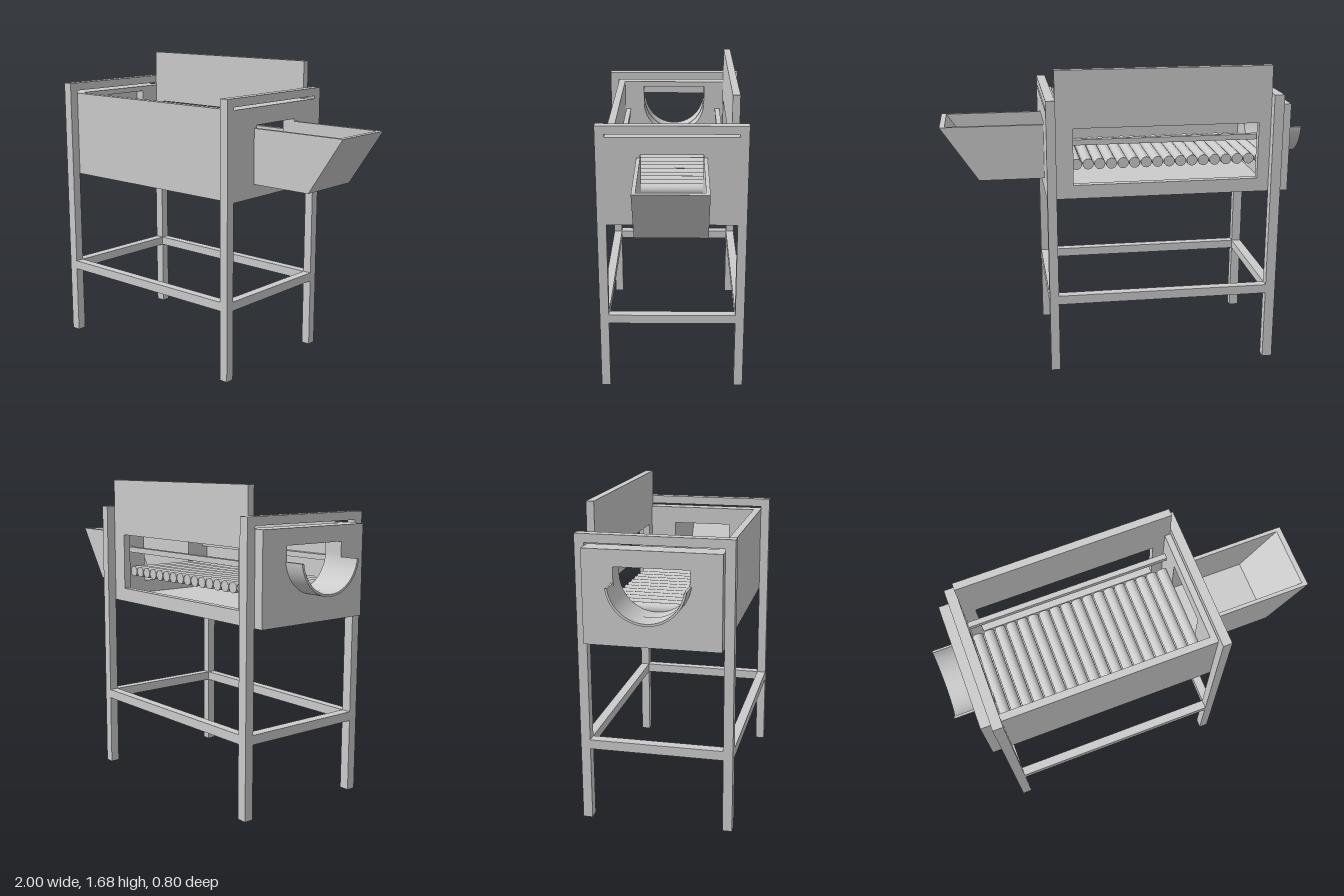
import * as THREE from 'three';

const mat = new THREE.MeshStandardMaterial({ color: 0xcccccc });

export function createModel() {
  const model = new THREE.Group();

  const add = (name, geometry) => {
    const mesh = new THREE.Mesh(geometry, mat);
    mesh.name = name;
    model.add(mesh);
    return mesh;
  };
  // Box given by its limits on each axis
  const box = (name, x0, x1, y0, y1, z0, z1) =>
    add(name, new THREE.BoxGeometry(x1 - x0, y1 - y0, z1 - z0)
      .translate((x0 + x1) / 2, (y0 + y1) / 2, (z0 + z1) / 2));
  const poly = (pts) => new THREE.Shape(pts.map(([a, b]) => new THREE.Vector2(a, b)));
  const rect = (a0, a1, b0, b1) => poly([[a0, b0], [a1, b0], [a1, b1], [a0, b1]]);
  const extrude = (shape, depth) =>
    new THREE.ExtrudeGeometry(shape, { depth, bevelEnabled: false, curveSegments: 40 });
  // Profile in x,y extruded along z, and profile in z,y extruded along x
  const alongZ = (name, shape, z0, z1) => add(name, extrude(shape, z1 - z0).translate(0, 0, z0));
  const alongX = (name, shape, x0, x1) =>
    add(name, extrude(shape, x1 - x0).rotateY(Math.PI / 2).translate(x0, 0, 0));

  // Frame: four legs, lower rails and end top rails
  const xs = [[-0.83, -0.775], [0.395, 0.445]];
  const zs = [[-0.4, -0.35], [0.35, 0.4]];
  for (const [x0, x1] of xs) {
    for (const [z0, z1] of zs) box('leg', x0, x1, 0, 1.53, z0, z1);
    box('lowerEndRail', x0, x1, 0.395, 0.445, -0.35, 0.35);
    box('topEndRail', x0, x1, 1.485, 1.53, -0.35, 0.35);
  }
  for (const [z0, z1] of zs) box('lowerSideRail', -0.775, 0.395, 0.395, 0.445, z0, z1);

  // Trough: floor, front panel and tall back panel with a window
  box('floor', -0.775, 0.395, 0.985, 1.015, -0.31, 0.31);
  box('frontPanel', -0.775, 0.395, 0.985, 1.47, 0.31, 0.35);
  const back = rect(-0.775, 0.395, 0.985, 1.68);
  back.holes.push(rect(-0.71, 0.3, 1.06, 1.37));
  alongZ('backPanel', back, -0.35, -0.31);

  // Feed end panel with a square opening
  const feedEnd = rect(-0.35, 0.35, 0.985, 1.47);
  feedEnd.holes.push(rect(-0.165, 0.165, 1.085, 1.375));
  alongX('feedEndPanel', feedEnd, 0.365, 0.445);

  // Discharge end panels with a round-bottomed opening
  const roundOpening = (top) => {
    const p = new THREE.Path();
    p.moveTo(0.19, top);
    p.lineTo(-0.19, top);
    p.lineTo(-0.19, 1.33);
    p.absarc(0, 1.33, 0.19, Math.PI, 2 * Math.PI, false);
    p.lineTo(0.19, top);
    return p;
  };
  for (const [name, x0, x1, top] of [
    ['dischargeInnerPanel', -0.83, -0.775, 1.44],
    ['dischargeOuterPlate', -0.885, -0.83, 1.385],
  ]) {
    const shape = rect(-0.35, 0.35, 0.985, 1.47);
    shape.holes.push(roundOpening(top));
    alongX(name, shape, x0, x1);
  }

  // Half-pipe discharge spout
  const a = Math.asin(0.025 / 0.2);
  const pipe = new THREE.Shape();
  pipe.absarc(0, 1.33, 0.2, Math.PI + a, 2 * Math.PI - a, false);
  pipe.absarc(0, 1.33, 0.188, 2 * Math.PI - a, Math.PI + a, true);
  alongX('dischargeSpout', pipe, -1, -0.885);

  // Feed hopper: two cheeks, and a floor that turns up into the sloped front
  const cheek = poly([[0.445, 1.06], [0.8, 1.06], [1, 1.36], [0.445, 1.36]]);
  for (const z of [-0.185, 0.165]) alongZ('hopperCheek', cheek, z, z + 0.02);
  alongZ('hopperFloor', poly([[0.445, 1.06], [0.8, 1.06], [1, 1.36], [0.972, 1.36],
    [0.787, 1.083], [0.445, 1.083]]), -0.165, 0.165);

  // Row of cross rollers
  const count = 18, pitch = 0.064;
  const rollerGeometry = new THREE.CylinderGeometry(0.03, 0.03, 0.515, 16).rotateX(Math.PI / 2);
  for (let i = 0; i < count; i++) {
    add('roller', rollerGeometry).position.set(-0.205 + (i - (count - 1) / 2) * pitch, 1.15, 0);
  }

  // Guide bars above the roller ends
  for (const z of [-0.275, 0.29]) box('guideBar', -0.775, 0.365, 1.265, 1.295, z - 0.015, z + 0.015);

  return model;
}
